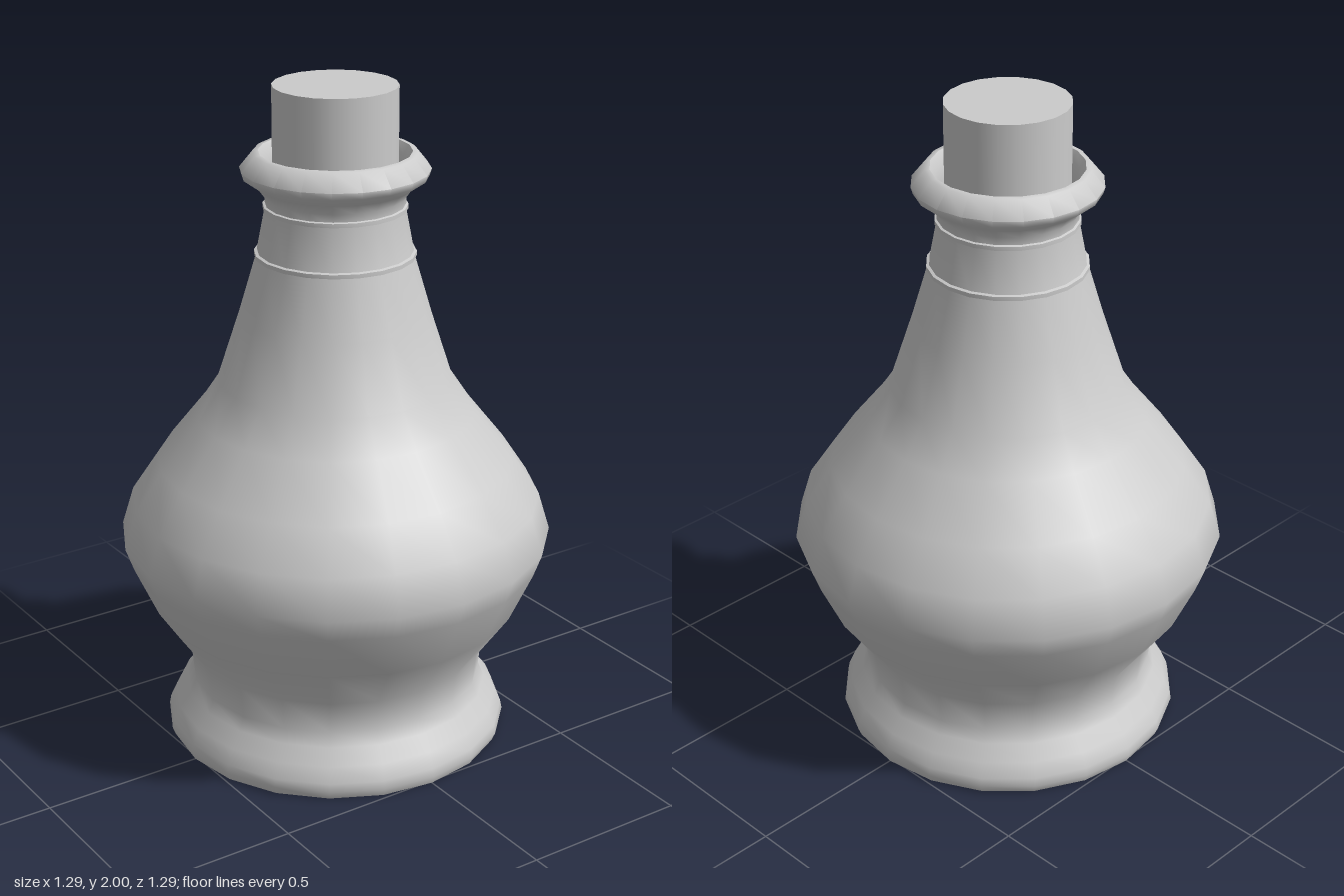
import * as THREE from 'three';
import { toCreasedNormals } from 'three/addons/utils/BufferGeometryUtils.js';

const SIDES = 20;

// Turn a list of [radius, height] pairs into a mesh with soft curves and crisp rims
function turned(name, profile, material) {
  const points = profile.map(([r, y]) => new THREE.Vector2(r, y));
  const geometry = toCreasedNormals(new THREE.LatheGeometry(points, SIDES), 1.0);
  const mesh = new THREE.Mesh(geometry, material);
  mesh.name = name;
  return mesh;
}

export function createModel() {
  const group = new THREE.Group();
  group.name = 'corkedBottle';
  const material = new THREE.MeshStandardMaterial({ color: 0xcccccc });

  // Bottle: closed base, flared foot, wide belly, tapering neck, flared lip and inner throat
  group.add(turned('bottle', [
    [0, 0], [0.51, 0], [0.52, 0.025], [0.515, 0.05], [0.495, 0.095], [0.46, 0.14], [0.442, 0.18],
    [0.452, 0.28], [0.55, 0.42], [0.62, 0.575], [0.645, 0.645],
    [0.61, 0.76], [0.53, 0.88], [0.415, 1.025], [0.345, 1.13], [0.28, 1.33], [0.23, 1.5],
    [0.202, 1.645], [0.203, 1.68], [0.225, 1.71], [0.268, 1.74], [0.274, 1.76],
    [0.235, 1.808], [0.22, 1.81], [0.203, 1.785], [0.195, 1.74], [0.19, 1.6], [0, 1.6],
  ], material));

  // Two thin raised bands around the neck
  for (const [name, r, y] of [['lowerNeckBand', 0.228, 1.51], ['upperNeckBand', 0.202, 1.65]]) {
    group.add(turned(name, [
      [r - 0.01, y - 0.011], [r + 0.007, y - 0.007], [r + 0.007, y + 0.005], [r - 0.01, y + 0.011],
    ], material));
  }

  // Cork standing in the throat
  const cork = new THREE.Mesh(new THREE.CylinderGeometry(0.18, 0.18, 0.4, SIDES), material);
  cork.name = 'cork';
  cork.position.y = 1.8;
  group.add(cork);

  return group;
}
